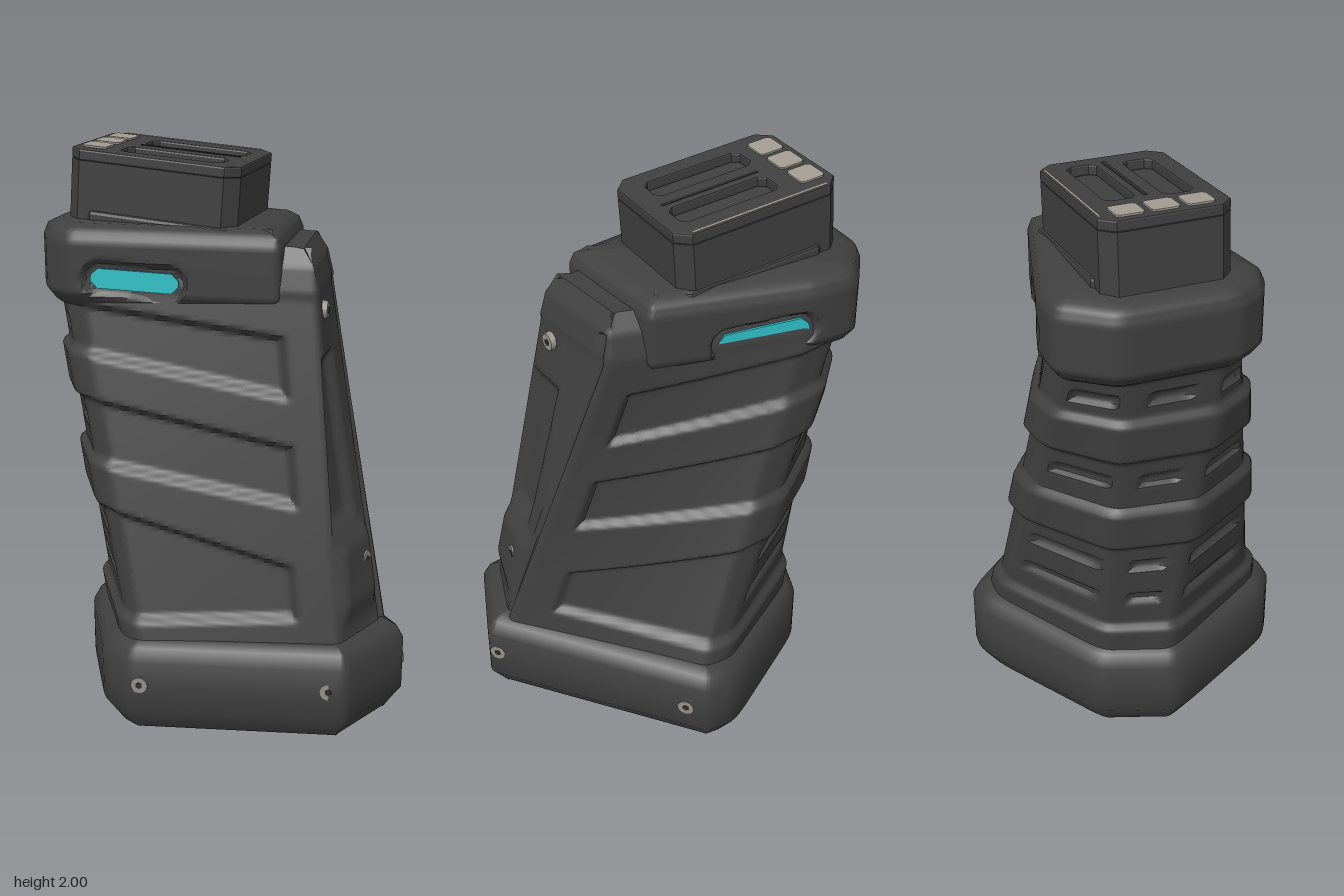
import * as THREE from 'three';
import { toCreasedNormals } from 'three/addons/utils/BufferGeometryUtils.js';

const mat = (name, color) => Object.assign(new THREE.MeshStandardMaterial({ color }), { name });
const dark = mat('dark polymer', 0x404040);
const shade = mat('dark recess', 0x2e2e2e);
const cyan = mat('cyan light', 0x30c0c8);
const metal = mat('screw metal', 0x959088);
const contactGrey = mat('contact grey', 0xa39d93);

// Cross-section corners [x, z]: nose, front side, rounded back, right side, nose
const BASE = [[.31, .61], [-.39, .34], [-.455, .22], [-.435, -.28], [-.21, -.465], [.33, -.485], [.425, -.425], [.585, .4]];
const LOW = [[.31, .54], [-.35, .3], [-.395, .22], [-.395, -.26], [-.2, -.425], [.28, -.435], [.37, -.38], [.535, .35]];
const HIGH = [[.27, .325], [-.485, -.01], [-.545, -.09], [-.55, -.2], [-.37, -.5], [-.19, -.58], [-.035, -.52], [.42, -.02]];
const COLLAR = [[.15, .275], [-.52, .01], [-.578, -.08], [-.576, -.2], [-.375, -.54], [-.175, -.62], [-.045, -.535], [.335, -.14]];
const COUNT = [60, 6, 12, 16, 12, 6, 60, 24];
// Position round the section: 0 = back, +-1 = nose edges, -1..-2 = nose face
const Q = [1, .3, .25, .12, -.12, -.25, -.3, -1, -2];

const lerp = THREE.MathUtils.lerp;
const ease = (v) => THREE.MathUtils.smoothstep(v, 0, 1);
const clamp01 = (v) => THREE.MathUtils.clamp(v, 0, 1);

// One ring of points with softened corners, pushed inwards by inset + depth
function ring(y, low, high, t, inset, tilt, depth) {
  let pts = [];
  COUNT.forEach((n, e) => {
    const f = (e + 1) % 8;
    for (let i = 0; i < n; i++) {
      const s = i / n;
      const at = (k) => lerp(lerp(low[e][k], low[f][k], s), lerp(high[e][k], high[f][k], s), t);
      pts.push({ x: at(0), z: at(1), q: lerp(Q[e], Q[e + 1], s) });
    }
  });
  const N = pts.length;
  for (let pass = 0; pass < 3; pass++) {
    pts = pts.map((p, i) => {
      const a = pts[(i + N - 1) % N], b = pts[(i + 1) % N];
      return { x: (a.x + 2 * p.x + b.x) / 4, z: (a.z + 2 * p.z + b.z) / 4, q: p.q };
    });
  }
  return pts.map((p, i) => {
    const a = pts[(i + N - 2) % N], b = pts[(i + 2) % N];
    const dx = b.x - a.x, dz = b.z - a.z, len = Math.hypot(dx, dz);
    const d = inset + depth(p, y);
    return [p.x - dz / len * d, y + tilt * (.6 * p.x + .8 * p.z + .5), p.z + dx / len * d];
  });
}

// Skin a stack of rings; profile = [y, inset] points subdivided by step
function loft(profile, step, low, high, tOf, tilt = 0, depth = () => 0) {
  const rings = [];
  profile.forEach(([y, inset], k) => {
    const next = profile[k + 1];
    const n = next ? Math.max(1, Math.round((next[0] - y) / step)) : 1;
    for (let i = 0; i < n; i++) {
      const yy = next ? lerp(y, next[0], i / n) : y;
      rings.push(ring(yy, low, high, tOf(yy), next ? lerp(inset, next[1], i / n) : inset, tilt, depth));
    }
  });
  const N = rings[0].length, pos = rings.flat(2), index = [];
  for (let r = 0; r < rings.length - 1; r++) {
    for (let j = 0; j < N; j++) {
      const a = r * N + j, b = r * N + (j + 1) % N;
      index.push(a, a + N, b, b, a + N, b + N);
    }
  }
  // End caps
  [rings[0], rings[rings.length - 1]].forEach((ends, top) => {
    const c = pos.length / 3, o = top ? (rings.length - 1) * N : 0;
    pos.push(...[0, 1, 2].map((k) => ends.reduce((s, p) => s + p[k], 0) / N));
    for (let j = 0; j < N; j++) {
      const a = o + j, b = o + (j + 1) % N;
      index.push(c, top ? b : a, top ? a : b);
    }
  });
  const g = new THREE.BufferGeometry();
  g.setAttribute('position', new THREE.Float32BufferAttribute(pos, 3));
  g.setIndex(index);
  return toCreasedNormals(g, .75);
}

// Recesses between the slanted ribs: back low/high, nose low/high, end
const WINDOWS = [[1.31, 1.5, 1.2, 1.42, .9], [.94, 1.18, .84, 1.06, .9], [.41, .81, .46, .65, .87]];
function bodyDepth(p, y) {
  const q = Math.abs(p.q);
  let d = 0;
  if (q <= 1) {
    const s = clamp01((q - .28) / .6);
    for (const [b0, t0, b1, t1, end] of WINDOWS) {
      const inside = Math.min(y - lerp(b0, b1, s), lerp(t0, t1, s) - y, end - q);
      d = Math.max(d, .027 * ease(inside / .03));
    }
    // Grip slots on the three back facets
    for (const c of [0, -.185, .185]) for (const sy of [1.4, 1.07, .7, .55]) {
      const inside = Math.min((.055 - Math.abs(p.q - c)) * 1.2, .028 - Math.abs(y - sy));
      d += .02 * ease(inside / .018);
    }
  } else {
    // Seam, long channel and lower screw boss on the nose
    const w = q - 1;
    if (w > .07 && w < .15 && y < 1.64) d = .012;
    const inside = Math.min(w - lerp(.35, .5, (y - .75) / .6), 1.02 - w, (y - .75) * 2, (1.36 - y) * 2);
    d = Math.max(d, .03 * ease(inside / .12));
    d -= .028 * ease(Math.min(w - .15, 1 - w) / .15) * ease((.77 - y) / .08) * ease((y - .42) / .12);
  }
  return d;
}

// Side lights: segment ends, facing direction and roll
const LIGHTS = [
  { a: [-.42, 1.58, .05], b: [-.2, 1.57, .137], n: [-.368, 0, .93], roll: -.04 },
  { a: [.153, 1.565, -.33], b: [-.011, 1.585, -.5], n: [.72, 0, -.694], roll: .09 },
];
function collarDepth(p, y) {
  let d = 0;
  for (const { a, b } of LIGHTS) {
    const A = new THREE.Vector3(...a), B = new THREE.Vector3(...b), P = new THREE.Vector3(p.x, y, p.z);
    const dist = new THREE.Line3(A, B).closestPointToPoint(P, true, new THREE.Vector3()).distanceTo(P);
    d = Math.max(d, .03 * ease((.068 - dist) / .024));
  }
  return d;
}

// Rectangle with cut corners, also used for holes
function chamfered(w, h, c, x = 0, y = 0, Type = THREE.Shape) {
  const a = w / 2, b = h / 2;
  return new Type([[a, -b + c], [a, b - c], [a - c, b], [-a + c, b], [-a, b - c], [-a, -b + c], [-a + c, -b], [a - c, -b]]
    .map(([u, v]) => new THREE.Vector2(u + x, v + y)));
}

export function createModel() {
  const model = new THREE.Group();
  const add = (parent, name, geo, material, x = 0, y = 0, z = 0) => {
    const m = new THREE.Mesh(geo, material);
    m.name = name;
    m.position.set(x, y, z);
    parent.add(m);
    return m;
  };

  // Main shells
  add(model, 'basePlate', loft([[0, .06], [.085, 0], [.275, 0], [.32, .025], [.34, .06]], .1, BASE, BASE, () => 0, .05), dark);
  add(model, 'gripBody', loft([[.3, 0], [1.56, 0], [1.64, .02], [1.7, .06]], .011, LOW, HIGH,
    (y) => Math.min(1.03, (y - .36) / 1.14), 0, bodyDepth), dark);
  add(model, 'collar', loft([[1.475, .05], [1.49, .03], [1.53, 0], [1.7, 0], [1.735, .015], [1.757, .06]], .012, COLLAR, COLLAR,
    () => 0, 0, collarDepth), dark);

  // Light strips set into the collar
  for (const { a, b, n, roll } of LIGHTS) {
    const A = new THREE.Vector3(...a), B = new THREE.Vector3(...b), N = new THREE.Vector3(...n);
    const geo = new THREE.ExtrudeGeometry(chamfered(A.distanceTo(B) + .064, .068, .024), { depth: .008, bevelEnabled: false });
    const m = add(model, 'lightStrip', geo, cyan);
    m.position.copy(A).add(B).multiplyScalar(.5).addScaledVector(N, -.023);
    m.lookAt(m.position.clone().add(N));
    m.rotateZ(roll);
  }

  // Screws: position and facing direction
  const front = [-.355, .935], right = [.981, -.191];
  [[-.35, .22, .348, front], [.26, .25, .58, front], [.57, .25, .37, right], [.434, .2, -.34, right],
    [.31, 1.49, .25, [.91, .41]], [.44, .63, .362, [.74, .67]]].forEach(([x, y, z, [nx, nz]]) => {
    const screw = new THREE.Group();
    screw.name = 'screw';
    add(screw, 'screwHead', new THREE.CylinderGeometry(.029, .033, .02, 16).rotateX(Math.PI / 2), metal);
    add(screw, 'screwSocket', new THREE.CylinderGeometry(.012, .012, .004, 6).rotateX(Math.PI / 2), shade, 0, 0, .01);
    screw.position.set(x, y, z);
    screw.lookAt(x + nx, y, z + nz);
    model.add(screw);
  });

  // Top connector, turned and tipped towards the nose
  const cap = new THREE.Group();
  cap.name = 'connector';
  cap.position.set(-.127, 1.962, -.159);
  cap.rotation.set(0, -Math.PI / 6, -.07, 'YXZ');
  model.add(cap);
  const slab = (shape, depth, bevel = 0) => new THREE.ExtrudeGeometry(shape, {
    depth, bevelEnabled: bevel > 0, bevelSize: bevel, bevelThickness: bevel, bevelOffset: -bevel, bevelSegments: 2,
  }).rotateX(-Math.PI / 2);
  add(cap, 'connectorBlock', slab(chamfered(.6, .43, .045), .27), dark, 0, -.295);
  add(cap, 'connectorFlange', slab(chamfered(.6, .45, .06), .06, .012), dark, .035, -.26);
  const top = chamfered(.6, .43, .045);
  top.holes.push(chamfered(.36, .1, .02, .06, .085, THREE.Path), chamfered(.36, .1, .02, .04, -.1, THREE.Path));
  add(cap, 'connectorTop', slab(top, .025, .006), dark, 0, -.019);
  add(cap, 'centreGroove', new THREE.BoxGeometry(.36, .004, .012), shade, .06, .012, -.005);

  // Contact pads and worn edge strip
  for (let i = -1; i <= 1; i++) {
    add(cap, 'contactPad', slab(chamfered(.09, .092, .01), .008), contactGrey, -.23, .01, i * .114);
  }
  add(cap, 'edgeStrip', new THREE.BoxGeometry(.5, .008, .008), contactGrey, 0, .01, -.203);
  return model;
}
